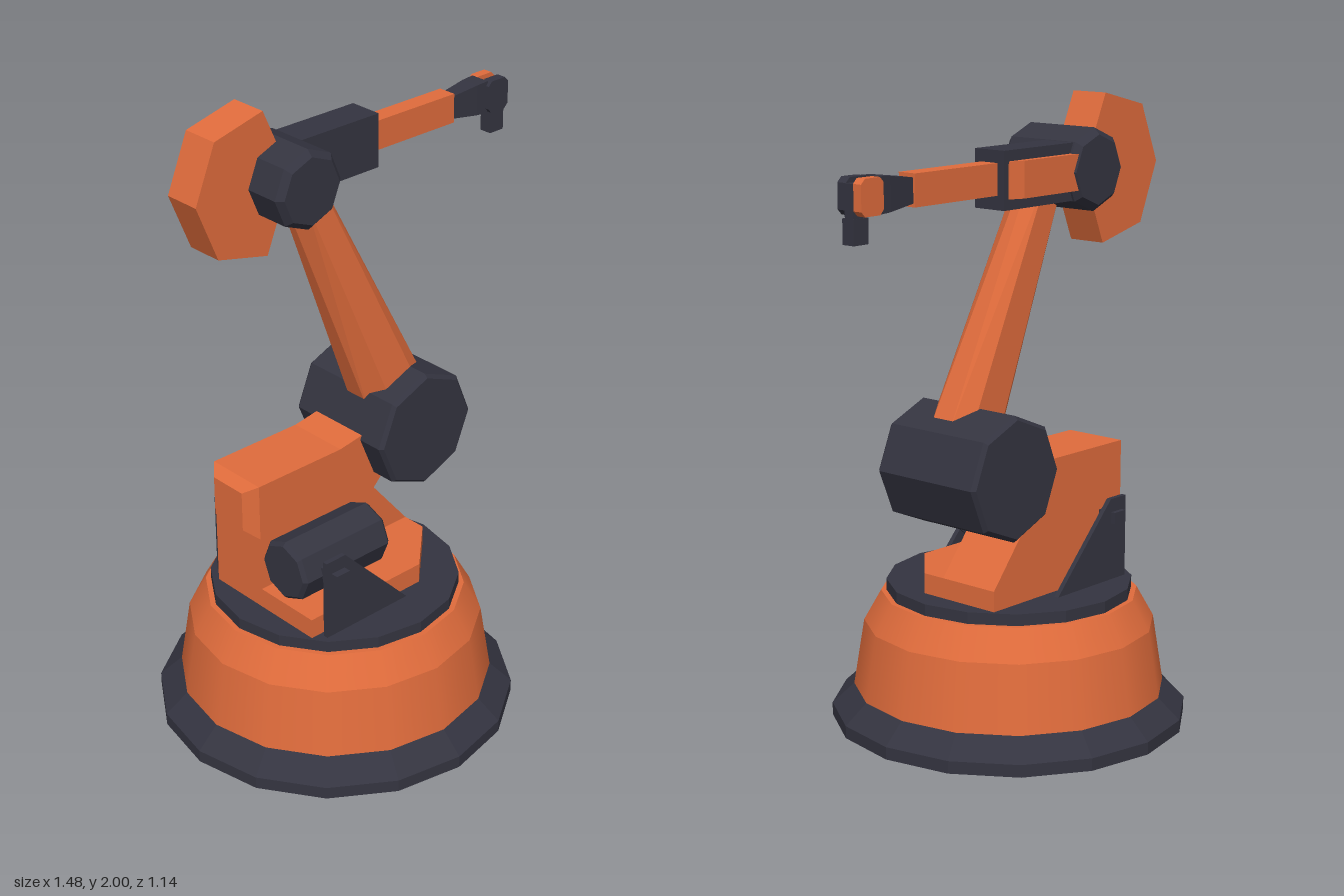
import * as THREE from 'three';
import { ConvexGeometry } from 'three/addons/geometries/ConvexGeometry.js';

export function createModel() {
  const model = new THREE.Group();
  model.name = 'robotArm';
  const orange = new THREE.MeshStandardMaterial({ color: 0xe06c3c });
  orange.name = 'orange paint';
  const dark = new THREE.MeshStandardMaterial({ color: 0x343440 });
  dark.name = 'dark metal';

  const add = (name, geometry, material, parent = model) => {
    const mesh = new THREE.Mesh(geometry, material);
    mesh.name = name;
    parent.add(mesh);
    return mesh;
  };
  // hard facets
  const flat = (g) => {
    const out = g.index ? g.toNonIndexed() : g;
    out.computeVertexNormals();
    return out;
  };
  // box given by its extents
  const box = (x0, x1, y0, y1, z0, z1) =>
    new THREE.BoxGeometry(x1 - x0, y1 - y0, z1 - z0)
      .translate((x0 + x1) / 2, (y0 + y1) / 2, (z0 + z1) / 2);
  // front outline pushed from z0 to z1
  const slab = (points, z0, z1) => {
    const shape = new THREE.Shape(points.map(([x, y]) => new THREE.Vector2(x, y)));
    return new THREE.ExtrudeGeometry(shape, { depth: z1 - z0, bevelEnabled: false }).translate(0, 0, z0);
  };
  const hull = (points) => new ConvexGeometry(points.map((p) => new THREE.Vector3(...p)));
  // chamfered eight-sided drum along y, centred on the origin
  const drum = (r, length, c) => {
    const h = length / 2;
    const profile = [[0, -h], [r - c, -h], [r, -h + c], [r, h - c], [r - c, h], [0, h]];
    return flat(new THREE.LatheGeometry(profile.map(([x, y]) => new THREE.Vector2(x, y)), 8));
  };

  // round base
  const base = new THREE.Group();
  base.name = 'base';
  base.position.x = -0.17;
  model.add(base);
  const ring = (name, rTop, rBottom, y0, y1, material, facets) => {
    const g = new THREE.CylinderGeometry(rTop, rBottom, y1 - y0, 16).translate(0, (y0 + y1) / 2, 0);
    add(name, facets ? flat(g) : g, material, base);
  };
  ring('footRim', 0.57, 0.57, 0, 0.04, dark, true);
  ring('footSlope', 0.5, 0.57, 0.04, 0.105, dark, true);
  ring('baseBody', 0.465, 0.5, 0.1, 0.32, orange, false);
  ring('baseShoulder', 0.41, 0.465, 0.32, 0.418, orange, false);
  ring('turntable', 0.393, 0.393, 0.418, 0.455, dark, true);

  // carriage plate with one cut corner
  const plate = slab([[-0.47, -0.23], [-0.02, -0.23], [0.14, -0.08], [0.14, 0.21], [-0.47, 0.21]], 0.455, 0.52);
  plate.rotateX(-Math.PI / 2);
  add('carriagePlate', plate, orange);

  // tall housing that carries the shoulder
  add('shoulderHousing', slab([
    [-0.47, 0.455], [0.14, 0.455], [0.14, 0.52], [0, 0.69], [0.06, 0.75], [0.1, 0.9],
    [-0.02, 0.905], [-0.14, 0.885], [-0.47, 0.885],
  ], -0.21, 0), orange);
  const rear = [];
  for (const [x, z] of [[-0.47, 0], [-0.505, -0.04], [-0.505, -0.17], [-0.47, -0.21]]) {
    const tip = x < -0.48;
    rear.push([x, tip ? 0.73 : 0.7, z], [x, tip ? 0.86 : 0.885, z]);
  }
  add('housingRear', hull(rear), orange);

  // drive motor with bracket, side plates and cross rod
  add('motor', drum(0.1, 0.35, 0.012).rotateZ(Math.PI / 2).rotateX(Math.PI / 2)
    .translate(-0.31, 0.65, 0.122), dark);
  add('motorBracket', slab([[-0.18, 0.5], [-0.06, 0.5], [-0.06, 0.68], [-0.085, 0.71], [-0.155, 0.71], [-0.18, 0.68]], -0.14, -0.078)
    .rotateY(-Math.PI / 2).translate(-0.216, 0, 0), orange);
  for (const z of [0.245, -0.26]) {
    add('sidePlate', slab([[-0.435, 0.455], [-0.105, 0.455], [-0.36, 0.72], [-0.435, 0.72]], z, z + 0.016), dark);
  }
  add('crossRod', box(-0.415, -0.363, 0.64, 0.677, -0.275, 0.285), dark);

  // shoulder joint
  add('shoulderJoint', drum(0.195, 0.395, 0.012).rotateX(Math.PI / 2).translate(0.138, 0.885, -0.103), dark);

  // tapered lower arm, leaning from shoulder to elbow
  const along = [-0.39, 0.921];
  const across = [0.921, 0.39];
  const armPoints = [];
  for (const t of [0.1, 0.94]) {
    const w = 0.121 - 0.057 * t;
    const front = 0.03 - 0.066 * t;
    const half = [[0.5 * w, front], [w, front - 0.055], [w, -0.11], [0.55 * w, -0.15]];
    for (const [u, z] of half) {
      for (const s of [-1, 1]) {
        const v = s * u + 0.02;
        armPoints.push([0.138 + along[0] * t + across[0] * v, 0.885 + along[1] * t + across[1] * v, z]);
      }
    }
  }
  add('lowerArm', hull(armPoints), orange);

  // elbow joint and counterweight
  add('elbowJoint', drum(0.126, 0.29, 0.02).rotateX(Math.PI / 2).translate(-0.235, 1.775, -0.15), dark);
  add('counterweight', slab([
    [-0.3, 2], [-0.48, 1.955], [-0.555, 1.775], [-0.48, 1.59], [-0.295, 1.545], [-0.2, 1.775],
  ].reverse(), -0.265, -0.14), orange);

  // upper arm: dark case with an orange panel set in its back
  add('upperArmCase', box(-0.2, 0.165, 1.688, 1.862, -0.268, -0.155), dark);
  const panel = [];
  for (const y of [1.72, 1.83]) {
    panel.push([-0.15, y, -0.26], [0.145, y, -0.26], [0.145, y, -0.272], [0.1, y, -0.29], [-0.15, y, -0.29]);
  }
  add('upperArmPanel', hull(panel), orange);
  add('forearm', box(0.16, 0.51, 1.73, 1.825, -0.242, -0.18), orange);

  // flared wrist
  const wrist = [];
  for (const [x, h, d] of [[0.505, 0.036, 0.024], [0.61, 0.05, 0.033], [0.655, 0.053, 0.034]]) {
    for (const sy of [-1, 1]) for (const sz of [-1, 1]) wrist.push([x, 1.777 + sy * h, -0.211 + sz * d]);
  }
  add('wrist', hull(wrist), dark);

  // tool fork and hanging finger
  const cheek = [
    [0.648, 1.74], [0.662, 1.725], [0.72, 1.725], [0.735, 1.74], [0.735, 1.815], [0.72, 1.83], [0.662, 1.83], [0.648, 1.815],
  ];
  add('forkFront', slab(cheek, -0.198, -0.165), dark);
  add('forkBack', slab(cheek, -0.256, -0.225), orange);
  add('toolBlock', box(0.695, 0.738, 1.715, 1.815, -0.226, -0.195), dark);
  add('toolFinger', box(0.68, 0.738, 1.645, 1.718, -0.228, -0.185), dark);

  return model;
}
